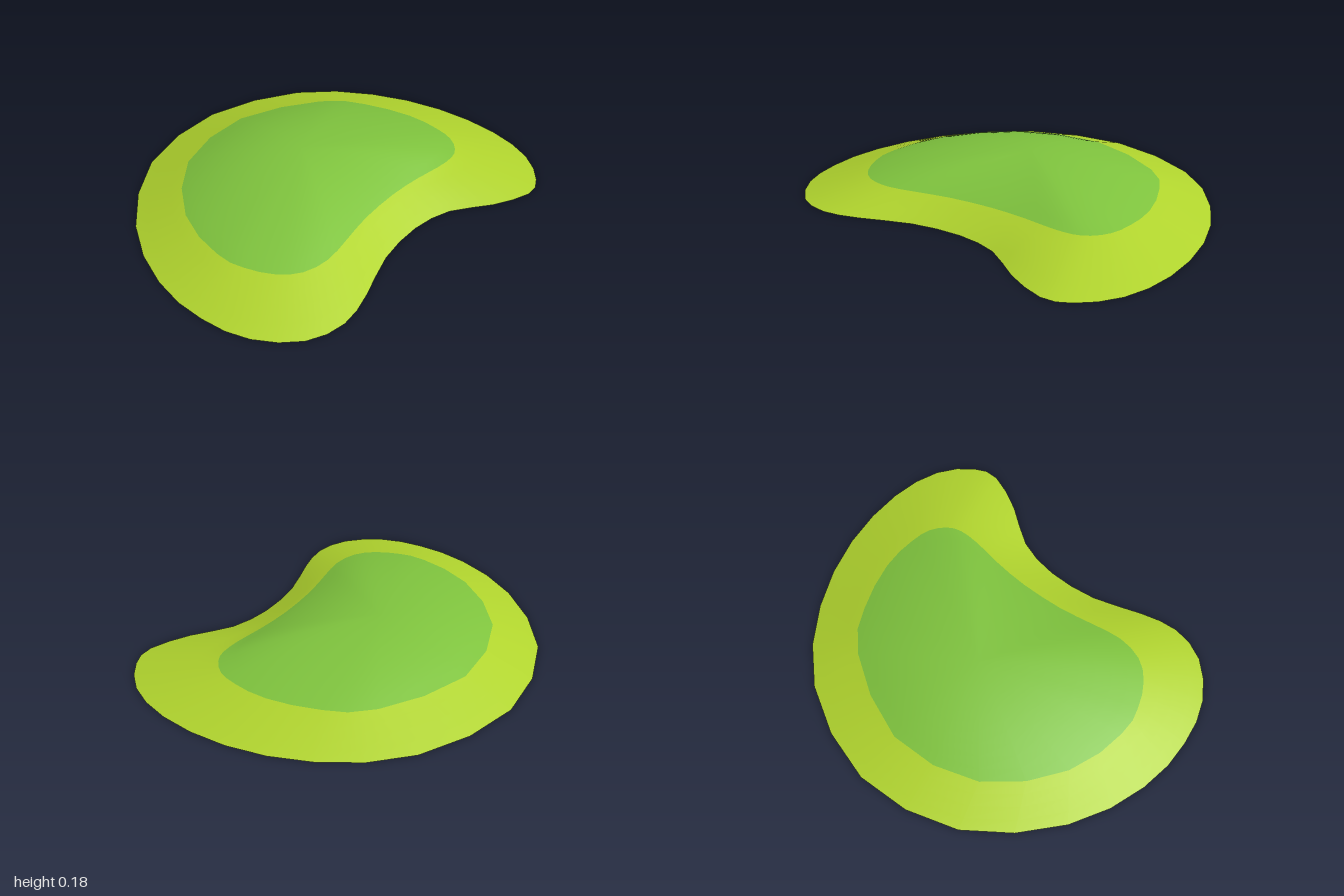
import * as THREE from 'three';

const SEGMENTS = 40;
const RIM_RINGS = 4;
const TOP_RINGS = 10;
const BAND_Y = 0.08; // height where the colour changes
const PEAK_Y = 0.178;
const PEAK_X = -0.08;

// Closed contour sampled evenly between its [x, z] control points
function contour(points, y) {
  const curve = new THREE.CatmullRomCurve3(
    points.map(([x, z]) => new THREE.Vector3(x, y, z)), true, 'catmullrom', 0.5);
  return Array.from({ length: SEGMENTS }, (_, i) => curve.getPoint(i / SEGMENTS));
}

// Kidney-shaped ground outline and the matching contour of the green centre
const outer = contour([
  [-0.84, -0.1], [-0.65, -0.585], [-0.315, -0.86], [0.06, -0.985], [0.41, -0.99],
  [0.66, -0.91], [0.805, -0.77], [0.838, -0.64], [0.755, -0.45], [0.63, -0.27],
  [0.585, -0.06], [0.61, 0.19], [0.695, 0.43], [0.735, 0.62], [0.68, 0.8],
  [0.51, 0.94], [0.28, 0.995], [-0.02, 0.97], [-0.39, 0.8], [-0.735, 0.42],
], 0);
const inner = contour([
  [-0.6, -0.09], [-0.4, -0.505], [-0.2, -0.645], [0.05, -0.715], [0.23, -0.71],
  [0.34, -0.68], [0.41, -0.62], [0.44, -0.55], [0.44, -0.44], [0.42, -0.29],
  [0.41, -0.11], [0.425, 0.11], [0.46, 0.29], [0.485, 0.44], [0.46, 0.57],
  [0.38, 0.66], [0.25, 0.72], [0.1, 0.735], [-0.2, 0.65], [-0.51, 0.36],
], BAND_Y);

export function createModel() {
  const rimMaterial = new THREE.MeshStandardMaterial({ color: 0xb2d62e, side: THREE.DoubleSide });
  rimMaterial.name = 'lime';
  const topMaterial = new THREE.MeshStandardMaterial({ color: 0x80c53e, side: THREE.DoubleSide });
  topMaterial.name = 'green';

  const positions = [];
  const indices = [];

  // Sloping rim from the ground outline up to the colour contour
  for (let r = 0; r <= RIM_RINGS; r++) {
    for (let i = 0; i < SEGMENTS; i++) {
      positions.push(...outer[i].clone().lerp(inner[i], r / RIM_RINGS));
    }
  }
  // Rounded top, rising as a paraboloid to the peak
  const peak = new THREE.Vector3(PEAK_X, PEAK_Y, 0);
  for (let r = 1; r < TOP_RINGS; r++) {
    const t = 1 - r / TOP_RINGS;
    for (let i = 0; i < SEGMENTS; i++) {
      const p = peak.clone().lerp(inner[i], t);
      p.y = PEAK_Y - (PEAK_Y - BAND_Y) * t * t;
      positions.push(...p);
    }
  }
  const peakIndex = positions.length / 3;
  positions.push(...peak);

  // Faces between neighbouring rings, then the fan at the peak
  const lastRing = RIM_RINGS + TOP_RINGS - 1;
  for (let r = 0; r <= lastRing; r++) {
    for (let i = 0; i < SEGMENTS; i++) {
      const j = (i + 1) % SEGMENTS;
      const a = r * SEGMENTS + i;
      const b = r * SEGMENTS + j;
      if (r === lastRing) indices.push(a, peakIndex, b);
      else indices.push(a, a + SEGMENTS, b, b, a + SEGMENTS, b + SEGMENTS);
    }
  }

  const geometry = new THREE.BufferGeometry();
  geometry.setAttribute('position', new THREE.Float32BufferAttribute(positions, 3));
  geometry.setIndex(indices);
  geometry.computeVertexNormals();
  const rimCount = RIM_RINGS * SEGMENTS * 6;
  geometry.addGroup(0, rimCount, 0);
  geometry.addGroup(rimCount, indices.length - rimCount, 1);

  const mound = new THREE.Mesh(geometry, [rimMaterial, topMaterial]);
  mound.name = 'mound';
  const group = new THREE.Group();
  group.name = 'grassMound';
  group.add(mound);
  return group;
}
